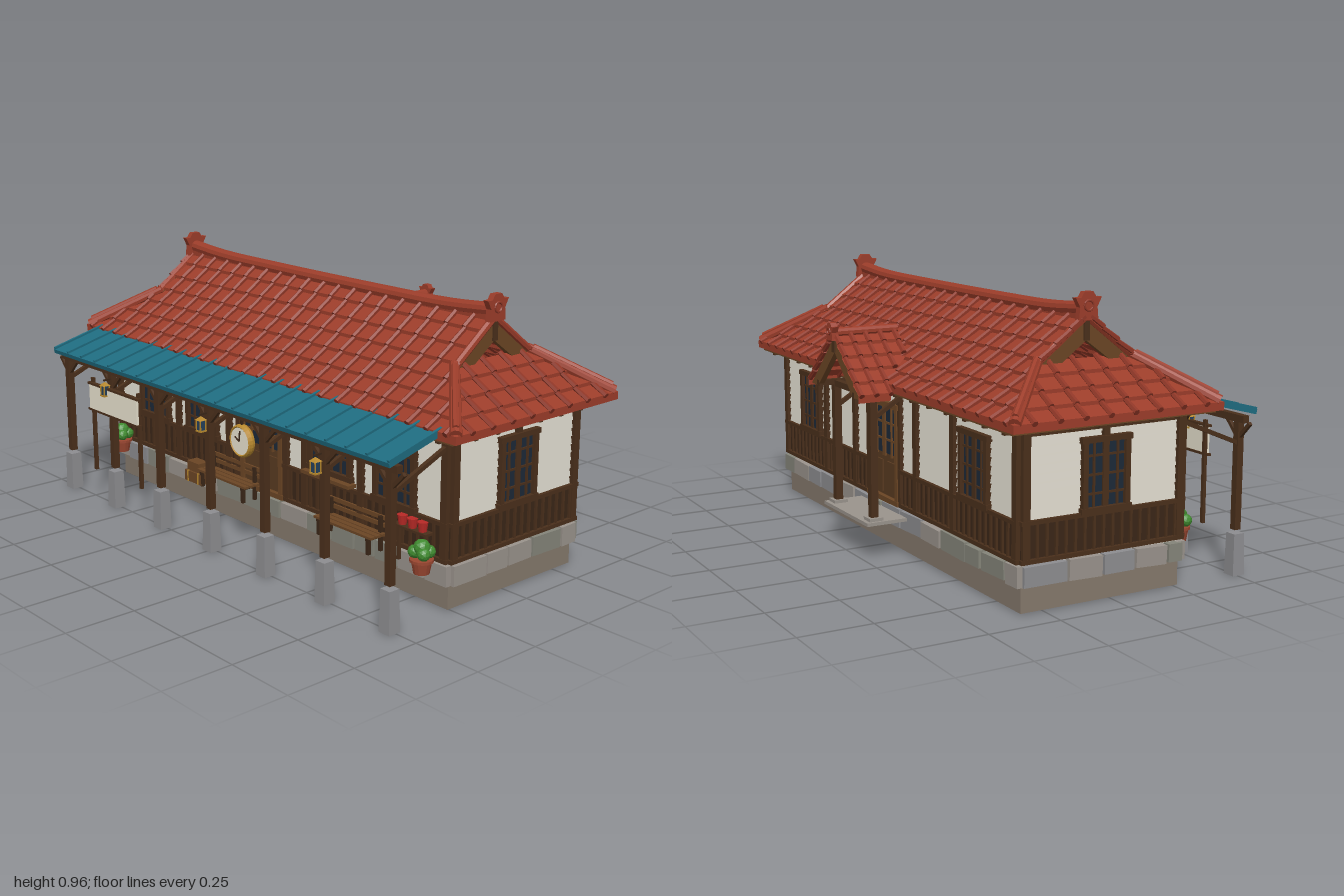
import * as THREE from 'three';
import { mergeGeometries } from 'three/addons/utils/BufferGeometryUtils.js';

const C = { tile: 0x9c3d2a, ridge: 0x8e3626, wood: 0x4a2f1b, dark: 0x3a2617, oak: 0x6b4524, plaster: 0xd6d2c6,
  glass: 0x1c2938, teal: 0x1f6c80, stone: 0x8d8d90, stone2: 0x85857a, stone3: 0x9a938c, base: 0x85796c,
  gold: 0xb8892e, cream: 0xe8e2cf, leaf: 0x3f8a2f, pot: 0x9a4630, red: 0xb82a26 };
const V = (x, y, z) => new THREE.Vector3(x, y, z);
const CZ = -0.035; // centre line of the building in z
const box = (w, h, d, x, y, z) => new THREE.BoxGeometry(w, h, d).translate(x, y, z);

// bar of rectangular section from a to b
function bar(a, b, w, h) {
  const m = new THREE.Matrix4().lookAt(b, a, Math.abs(b.x - a.x) + Math.abs(b.z - a.z) < 1e-6 ? V(0, 0, 1) : V(0, 1, 0));
  m.setPosition(a.clone().add(b).multiplyScalar(0.5));
  return new THREE.BoxGeometry(w, h, a.distanceTo(b)).applyMatrix4(m);
}
// round rod from a to b
function rod(a, b, r, r2 = r, sides = 7) {
  const q = new THREE.Quaternion().setFromUnitVectors(V(0, 1, 0), b.clone().sub(a).normalize());
  const m = new THREE.Matrix4().compose(a.clone().add(b).multiplyScalar(0.5), q, V(1, 1, 1));
  return new THREE.CylinderGeometry(r2, r, a.distanceTo(b), sides).applyMatrix4(m);
}
function part(parent, name, color, geos, double = false) {
  const list = geos.map(g => {
    const n = g.index ? g.toNonIndexed() : g;
    n.deleteAttribute('uv');
    return n;
  });
  const mat = new THREE.MeshStandardMaterial({ color, flatShading: true, side: double ? THREE.DoubleSide : THREE.FrontSide });
  const mesh = new THREE.Mesh(mergeGeometries(list), mat);
  mesh.name = name;
  parent.add(mesh);
  return mesh;
}
function group(parent, name, x = 0, y = 0, z = 0, ry = 0) {
  const g = new THREE.Group();
  g.name = name; g.position.set(x, y, z); g.rotation.y = ry;
  parent.add(g);
  return g;
}

// stepped tile courses with round ribs; map(u, d, h) places a point, span(d) gives the limits of u
function tiles(parent, name, map, span, dMax, pitch, us) {
  const pos = [], ribs = [], n = Math.round(dMax / pitch);
  const quad = (a, b, c, d) => [a, b, c, a, c, d].forEach(p => pos.push(p.x, p.y, p.z));
  for (let i = 0; i < n; i++) {
    const d0 = i * dMax / n, d1 = (i + 1) * dMax / n, [l0, r0] = span(d0), [l1, r1] = span(d1 - 1e-4);
    const a = map(l0, d0, 0.012), b = map(r0, d0, 0.012);
    quad(a, b, map(r1, d1, 0), map(l1, d1, 0));
    quad(map(l0, d0, i ? 0 : -0.015), map(r0, d0, i ? 0 : -0.015), b, a);
    const [lm, rm] = span((d0 + d1) / 2);
    for (const u of us) if (u > lm && u < rm) ribs.push(rod(map(u, d0 - 0.006, 0.014), map(u, d1, 0.007), 0.0105, 0.009, 6));
  }
  const g = new THREE.BufferGeometry();
  g.setAttribute('position', new THREE.Float32BufferAttribute(pos, 3));
  g.computeVertexNormals();
  part(parent, name, C.tile, [g], true);
  part(parent, name + 'Ribs', C.ridge, ribs);
}
const steps = (from, to, step) => Array.from({ length: Math.floor((to - from) / step + 1.001) }, (_, i) => from + i * step);

// flared ridge-end tile facing local +z, standing on its origin
function ridgeEnd(parent, x, y, z, ry, s) {
  const g = group(parent, 'ridgeEnd', x, y, z, ry);
  const half = [[0.036, 0], [0.032, 0.04], [0.048, 0.07], [0.028, 0.07], [0.016, 0.088]];
  const pts = [...half, ...half.slice().reverse().map(([a, b]) => [-a, b])].map(([a, b]) => new THREE.Vector2(a * s, b * s));
  part(g, 'endTile', C.tile, [new THREE.ExtrudeGeometry(new THREE.Shape(pts), { depth: 0.022, bevelEnabled: false }).translate(0, 0, -0.011)]);
  part(g, 'endBoss', C.ridge, [new THREE.TorusGeometry(0.016 * s, 0.004 * s, 6, 14).translate(0, 0.045 * s, 0.012)]);
}
// bargeboards: an inverted V of timber facing local +z
function gable(parent, w, y0, y1, t, x, z, ry) {
  const k = t * w / (y1 - y0), p = [[-w, y0], [-w + k, y0], [0, y1 - t], [w - k, y0], [w, y0], [0, y1]];
  const g = group(parent, 'gable', x, 0, z, ry);
  const s = new THREE.Shape(p.map(([a, b]) => new THREE.Vector2(a, b)));
  part(g, 'bargeboards', C.oak, [new THREE.ExtrudeGeometry(s, { depth: 0.02, bevelEnabled: false })]);
  part(g, 'pendant', C.wood, [box(0.02, t * 0.9, 0.008, 0, y1 - t * 0.55, 0.022)]);
}

// framed window or door, facing local +z
function opening(wall, name, x, y0, y1, w, cols, rows, door) {
  const h = y1 - y0, g = group(wall, name, x, (y0 + y1) / 2, 0), f = 0.018;
  const wood = [-1, 1].flatMap(s => [box(f, h, 0.03, s * (w - f) / 2, 0, 0.008), box(w + 0.012, f, 0.034, 0, s * (h - f) / 2, 0.008)]);
  const gy = door ? h * 0.2 : 0, gh = door ? h * 0.5 : h;
  for (let i = 1; i < cols; i++) wood.push(box(i * 2 === cols ? 0.022 : 0.007, gh, 0.016, -w / 2 + w * i / cols, gy, 0.008));
  for (let i = 1; i < rows; i++) wood.push(box(w, 0.007, 0.014, 0, gy - gh / 2 + gh * i / rows, 0.008));
  part(g, 'frame', door ? C.oak : C.wood, wood);
  part(g, 'glass', C.glass, [box(w - f, gh - f, 0.014, 0, gy, 0.003)]);
  if (door) part(g, 'doorPanels', 0x593a20, [box(w - f, h - f, 0.012, 0, 0, 0.002),
    ...[-0.25, 0.25].map(k => box(w * 0.36, h * 0.32, 0.012, w * k, -h * 0.26, 0.008))]);
}
// timber wall with clapboards and wainscot; posts are x positions, gap is a door range left open
function wall(root, name, x, z, ry, W, posts, gap = 0) {
  const g = group(root, name, x, 0, z, ry);
  const boards = steps(0.31, 0.565, 0.028).map(y => new THREE.BoxGeometry(W - 0.02, 0.029, 0.008).rotateX(-0.2).translate(0, y, 0.001));
  part(g, 'clapboards', C.plaster, boards);
  const len = gap ? W / 2 - gap : W, runs = gap ? [-(gap + len / 2), gap + len / 2] : [0];
  part(g, 'wainscot', C.dark, runs.map(c => box(len, 0.12, 0.012, c, 0.23, 0.002)));
  part(g, 'battens', C.wood, [
    ...steps(-W / 2 + 0.02, W / 2 - 0.01, 0.0345).filter(u => Math.abs(u) > gap).map(u => box(0.009, 0.115, 0.012, u, 0.23, 0.009)),
    ...runs.flatMap(c => [box(len + 0.01, 0.014, 0.03, c, 0.172, 0.005), box(len + 0.01, 0.013, 0.03, c, 0.293, 0.005)])]);
  part(g, 'posts', C.wood, [...posts.map(u => box(0.026, 0.415, 0.03, u, 0.375, 0.004)), box(W, 0.024, 0.03, 0, 0.57, 0.004)]);
  return g;
}

export function createModel() {
  const root = new THREE.Group();
  root.name = 'station';
  let seed = 7;
  const rnd = () => (seed = (seed * 16807) % 2147483647) / 2147483647;

  // foundation with a ring of rough stones
  part(root, 'foundation', C.base, [box(1.8, 0.085, 0.592, 0, 0.05, CZ)]);
  part(root, 'wallCore', C.plaster, [box(1.79, 0.5, 0.585, 0, 0.335, CZ)]);
  const stones = [[], [], []];
  for (const [len, off, ry] of [[1.83, 0.3, 0], [1.83, 0.3, Math.PI], [0.6, 0.905, Math.PI / 2], [0.6, 0.905, -Math.PI / 2]])
    for (let u = -len / 2; u < len / 2 - 0.03;) {
      const w = Math.min(0.08 + rnd() * 0.09, len / 2 - u);
      stones[Math.floor(rnd() * 3)].push(new THREE.BoxGeometry(w - 0.008, 0.058 + rnd() * 0.01, 0.03 + rnd() * 0.012)
        .rotateZ((rnd() - 0.5) * 0.07).translate(u + w / 2, 0.125, off).rotateY(ry).translate(0, 0, CZ));
      u += w;
    }
  stones.forEach((s, i) => part(root, 'foundationStones', [C.stone, C.stone2, C.stone3][i], s));

  // walls, windows and doors
  const front = wall(root, 'frontWall', 0, 0.262, 0, 1.8, [-0.89, -0.5, -0.19, -0.13, 0.13, 0.23, 0.51, 0.89], 0.115);
  for (const x of [-0.65, -0.35, 0.67]) opening(front, 'window', x, 0.295, 0.53, 0.19, 4, 4);
  opening(front, 'frontDoor', 0, 0.165, 0.525, 0.23, 4, 3, true);
  opening(front, 'ticketWindow', 0.36, 0.32, 0.46, 0.215, 4, 2);
  part(front, 'ticketCounter', C.oak, [box(0.24, 0.012, 0.045, 0.36, 0.31, 0.018)]);
  part(front, 'ticketPanel', C.cream, [box(0.12, 0.025, 0.012, 0.36, 0.49, 0.008)]);
  const back = wall(root, 'backWall', 0, -0.332, Math.PI, 1.8, [-0.89, -0.5, -0.24, -0.12, 0.12, 0.24, 0.5, 0.89], 0.115);
  for (const x of [-0.64, 0.64]) opening(back, 'window', x, 0.295, 0.53, 0.18, 4, 4);
  opening(back, 'backDoor', 0, 0.165, 0.525, 0.23, 4, 3, true);
  for (const s of [-1, 1]) {
    const side = wall(root, 'sideWall', s * 0.9, CZ, s * Math.PI / 2, 0.6, [-0.287, 0.287]);
    opening(side, 'window', 0, 0.295, 0.535, 0.175, 4, 4);
    part(side, 'windowStrut', C.wood, [box(0.022, 0.05, 0.02, 0, 0.555, 0.008)]);
  }

  // hip-and-gable roof
  const roof = group(root, 'roof'), f = d => 0.605 + 0.62 * d + 0.3 * d * d;
  const half = d => (d < 0.2199 ? 1 - d : 0.8);
  for (const s of [-1, 1]) {
    tiles(roof, 'mainSlope', (u, d, h) => V(u, f(d) + h, CZ + s * (0.385 - d)), d => [-half(d), half(d)], 0.385, 0.055, steps(-0.96, 0.96, 0.08));
    tiles(roof, 'endSlope', (u, d, h) => V(s * (1 - d), f(d) + h, CZ + u), d => [d - 0.385, 0.385 - d], 0.22, 0.055, steps(-0.315, 0.315, 0.09));
    const verge = [], hips = [];
    for (const t of [-1, 1]) {
      hips.push(rod(V(s * 0.99, 0.618, CZ + t * 0.375), V(s * 0.785, f(0.215) + 0.008, CZ + t * 0.17), 0.02, 0.017, 10));
      hips.push(rod(V(s * 0.985, 0.64, CZ + t * 0.37), V(s * 0.8, f(0.2) + 0.022, CZ + t * 0.185), 0.011));
      verge.push(rod(V(s * 0.792, f(0.2) + 0.005, CZ + t * 0.185), V(s * 0.792, f(0.385), CZ), 0.013));
    }
    part(roof, 'hipRidges', C.tile, hips);
    part(roof, 'vergeTiles', C.tile, verge);
    gable(roof, 0.19, 0.74, 0.88, 0.068, s * 0.775, CZ, s * Math.PI / 2);
    ridgeEnd(roof, s * 0.797, 0.877, CZ, s * Math.PI / 2, 1);
  }
  const ridgeLine = new THREE.CatmullRomCurve3([[-0.8, 0.912], [-0.6, 0.897], [-0.3, 0.893], [0.3, 0.893], [0.6, 0.897], [0.8, 0.912]].map(([x, y]) => V(x, y, CZ)));
  part(roof, 'ridge', C.tile, [new THREE.TubeGeometry(ridgeLine, 24, 0.023, 10), box(1.58, 0.03, 0.036, 0, 0.882, CZ)]);
  part(roof, 'eaves', C.oak, [box(1.95, 0.014, 0.745, 0, 0.587, CZ)]);
  part(roof, 'rafters', C.wood, [...steps(-0.9, 0.9, 0.12).map(x => box(0.016, 0.014, 0.72, x, 0.575, CZ)),
    ...steps(-0.25, 0.25, 0.1).map(z => box(1.92, 0.014, 0.014, 0, 0.575, CZ + z))]);

  // platform canopy
  const canopy = group(root, 'canopy');
  part(canopy, 'canopySheet', C.teal, [bar(V(0, 0.625, 0.27), V(0, 0.553, 0.548), 1.85, 0.016)]);
  part(canopy, 'canopySeams', C.teal, steps(-0.92, 0.92, 0.092).map(x => bar(V(x, 0.635, 0.27), V(x, 0.563, 0.548), 0.01, 0.012)));
  const timber = [box(1.85, 0.024, 0.024, 0, 0.532, 0.505)], feet = [];
  for (const x of steps(-0.89, 0.89, 0.89 / 3)) {
    timber.push(box(0.024, 0.385, 0.024, x, 0.35, 0.505), bar(V(x, 0.45, 0.5), V(x, 0.548, 0.262), 0.014, 0.014));
    for (const s of [-1, 1]) timber.push(bar(V(x, 0.465, 0.505), V(x + s * 0.055, 0.522, 0.505), 0.012, 0.012));
    feet.push(new THREE.CylinderGeometry(0.029, 0.033, 0.142, 4).rotateY(Math.PI / 4).translate(x, 0.075, 0.505));
  }
  part(canopy, 'canopyTimber', C.wood, timber);
  part(canopy, 'postStones', C.stone, feet);

  // lanterns on the canopy posts
  for (const x of [-0.59, 0, 0.59]) {
    const l = group(root, 'lantern', x, 0.465, 0.54);
    part(l, 'lanternGlass', 0x24405c, [box(0.02, 0.036, 0.02, 0, 0, 0)]);
    part(l, 'lanternFrame', C.gold, [box(0.028, 0.005, 0.028, 0, -0.02, 0), new THREE.ConeGeometry(0.022, 0.014, 4).rotateY(Math.PI / 4).translate(0, 0.025, 0),
      ...[[-1, -1], [-1, 1], [1, -1], [1, 1]].map(([a, b]) => box(0.004, 0.04, 0.004, a * 0.011, 0, b * 0.011))]);
    part(l, 'lanternBracket', C.dark, [bar(V(0, 0.038, -0.03), V(0, 0.038, 0.005), 0.006, 0.006)]);
  }

  // hanging clock
  const clock = group(root, 'clock', 0.18, 0.445, 0.505);
  part(clock, 'clockFace', C.cream, [new THREE.CylinderGeometry(0.05, 0.05, 0.022, 24).rotateX(Math.PI / 2)]);
  part(clock, 'clockRim', C.gold, [new THREE.TorusGeometry(0.05, 0.007, 8, 28).scale(1, 1, 2)]);
  part(clock, 'clockHands', C.dark, [-1, 1].flatMap(s => [bar(V(0, 0, s * 0.013), V(0.004, 0.036, s * 0.013), 0.005, 0.003),
    bar(V(0, 0, s * 0.013), V(-0.022, 0.012, s * 0.013), 0.005, 0.003)]));
  part(clock, 'clockHanger', C.dark, [box(0.008, 0.04, 0.008, 0, 0.07, 0)]);

  // blank notice board on two legs
  const board = group(root, 'noticeBoard', -0.545, 0, 0.53);
  part(board, 'boardPanel', C.cream, [box(0.31, 0.092, 0.01, 0, 0.42, 0.004)]);
  part(board, 'boardFrame', C.wood, [...[-0.15, 0.15].map(x => box(0.013, 0.36, 0.012, x, 0.31, -0.006)),
    ...[0.37, 0.47].map(y => box(0.33, 0.008, 0.016, 0, y, 0.002))]);

  // benches
  for (const x of [-0.15, 0.5]) {
    const b = group(root, 'bench', x, 0, 0.315);
    part(b, 'benchSlats', C.oak, [...[-0.024, 0, 0.024].map(z => box(0.28, 0.008, 0.02, 0, 0.19, z)), ...[0.218, 0.243].map(y => box(0.28, 0.014, 0.007, 0, y, -0.036))]);
    part(b, 'benchLegs', C.dark, [-0.12, 0.12].flatMap(u => [box(0.012, 0.06, 0.012, u, 0.16, 0.026), box(0.012, 0.12, 0.012, u, 0.19, -0.028), box(0.012, 0.008, 0.07, u, 0.182, 0)]));
  }
  // suitcases
  const bags = group(root, 'suitcases', -0.32, 0, 0.32);
  part(bags, 'cases', C.oak, [box(0.1, 0.04, 0.055, 0, 0.152, 0), box(0.07, 0.035, 0.045, -0.005, 0.191, 0)]);
  part(bags, 'straps', C.gold, [-0.03, 0.03].map(x => box(0.007, 0.042, 0.058, x, 0.152, 0)));

  // potted shrubs
  for (const x of [-0.825, 0.84]) {
    const p = group(root, 'pottedShrub', x, 0.13, 0.32);
    part(p, 'pot', C.pot, [new THREE.CylinderGeometry(0.034, 0.026, 0.042, 14).translate(0, 0.021, 0), new THREE.CylinderGeometry(0.039, 0.039, 0.009, 14).translate(0, 0.044, 0)]);
    part(p, 'foliage', C.leaf, [[0, 0.085, 0, 0.028], [0.02, 0.07, 0.012, 0.022], [-0.02, 0.07, 0.012, 0.022], [0.012, 0.07, -0.02, 0.022], [-0.014, 0.07, -0.018, 0.02]]
      .map(([a, b, c, r]) => new THREE.IcosahedronGeometry(r, 1).translate(a, b, c)));
  }
  // red fire buckets on a stand
  const rack = group(root, 'bucketStand', 0.77, 0, 0.292);
  part(rack, 'stand', C.wood, [box(0.15, 0.008, 0.035, 0, 0.25, 0), ...[-0.06, 0.06].map(x => box(0.01, 0.12, 0.012, x, 0.19, 0))]);
  part(rack, 'buckets', C.red, [-0.045, 0, 0.045].map(x => new THREE.CylinderGeometry(0.018, 0.013, 0.032, 12).translate(x, 0.27, 0)));

  // rear porch
  const porch = group(root, 'rearPorch');
  const py = d => 0.578 + 0.92 * d;
  for (const s of [-1, 1])
    tiles(porch, 'porchSlope', (u, d, h) => V(s * (0.21 - d), py(d) + h, u),
      d => [-0.54, Math.min(-0.295, -0.42 + Math.max(0, (py(d) - 0.605) / 0.68))], 0.21, 0.0425, steps(-0.53, -0.3, 0.055));
  part(porch, 'porchRidge', C.tile, [rod(V(0, 0.775, -0.54), V(0, 0.775, -0.295), 0.017, 0.017, 10)]);
  ridgeEnd(porch, 0, 0.75, -0.538, Math.PI, 0.68);
  gable(porch, 0.2, 0.572, 0.762, 0.055, 0, -0.51, Math.PI);
  const posts = [box(0.34, 0.022, 0.022, 0, 0.575, -0.46)];
  for (const s of [-1, 1]) posts.push(box(0.026, 0.43, 0.026, s * 0.145, 0.36, -0.46), box(0.018, 0.02, 0.2, s * 0.145, 0.58, -0.43),
    bar(V(s * 0.145, 0.495, -0.455), V(s * 0.145, 0.57, -0.335), 0.014, 0.014));
  part(porch, 'porchTimber', C.wood, posts);
  part(porch, 'porchStep', C.stone3, [box(0.36, 0.012, 0.165, 0, 0.135, -0.417), ...[-1, 1].map(s => box(0.05, 0.012, 0.05, s * 0.145, 0.146, -0.46))]);
  return root;
}
